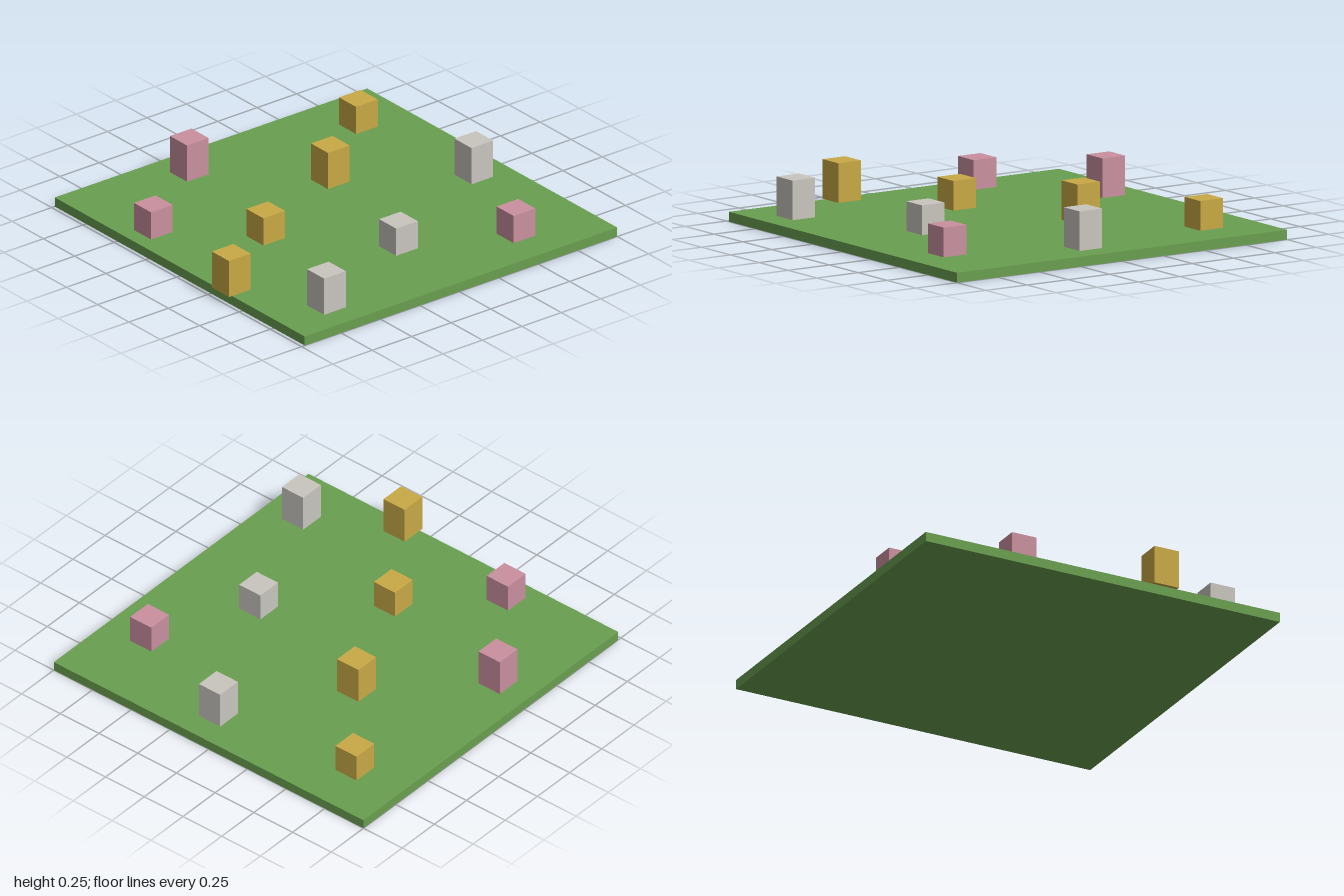
import * as THREE from 'three';

const BASE_H = 0.05, BLOCK_W = 0.137, SHORT = 0.15, TALL = 0.2;

export function createModel() {
  const model = new THREE.Group();
  model.name = 'lawnWithBlocks';

  const material = (name, color) => {
    const m = new THREE.MeshStandardMaterial({ color });
    m.name = name;
    return m;
  };
  const green = material('grass green', 0x6a9f50);
  const gold = material('gold', 0xc9a946);
  const pink = material('pink', 0xca90a0);
  const grey = material('pale grey', 0xc9c6bf);

  // Box standing on height y
  const addBox = (name, mat, w, h, d, x, y, z) => {
    const mesh = new THREE.Mesh(new THREE.BoxGeometry(w, h, d), mat);
    mesh.name = name;
    mesh.position.set(x, y + h / 2, z);
    model.add(mesh);
  };

  // Lawn slab, slightly shorter at the front
  addBox('lawn', green, 2, BASE_H, 1.98, 0, 0, -0.01);

  // Flower blocks: name, material, height, x, z
  const blocks = [
    ['goldFlower', gold, SHORT, -0.7, -0.706],
    ['goldFlower', gold, TALL, -0.3, -0.211],
    ['goldFlower', gold, SHORT, 0, 0.435],
    ['goldFlower', gold, TALL, 0.35, 0.931],
    ['pinkFlower', pink, SHORT, 0.75, -0.556],
    ['pinkFlower', pink, TALL, -0.8, 0.286],
    ['pinkFlower', pink, SHORT, -0.4, 0.831],
    ['greyFlower', grey, TALL, 0.1, -0.804],
    ['greyFlower', grey, SHORT, 0.5, -0.01],
    ['greyFlower', grey, TALL, 0.8, 0.684],
  ];
  blocks.forEach(([name, mat, h, x, z], i) =>
    addBox(`${name}${i + 1}`, mat, BLOCK_W, h, BLOCK_W, x, BASE_H, z));

  return model;
}
